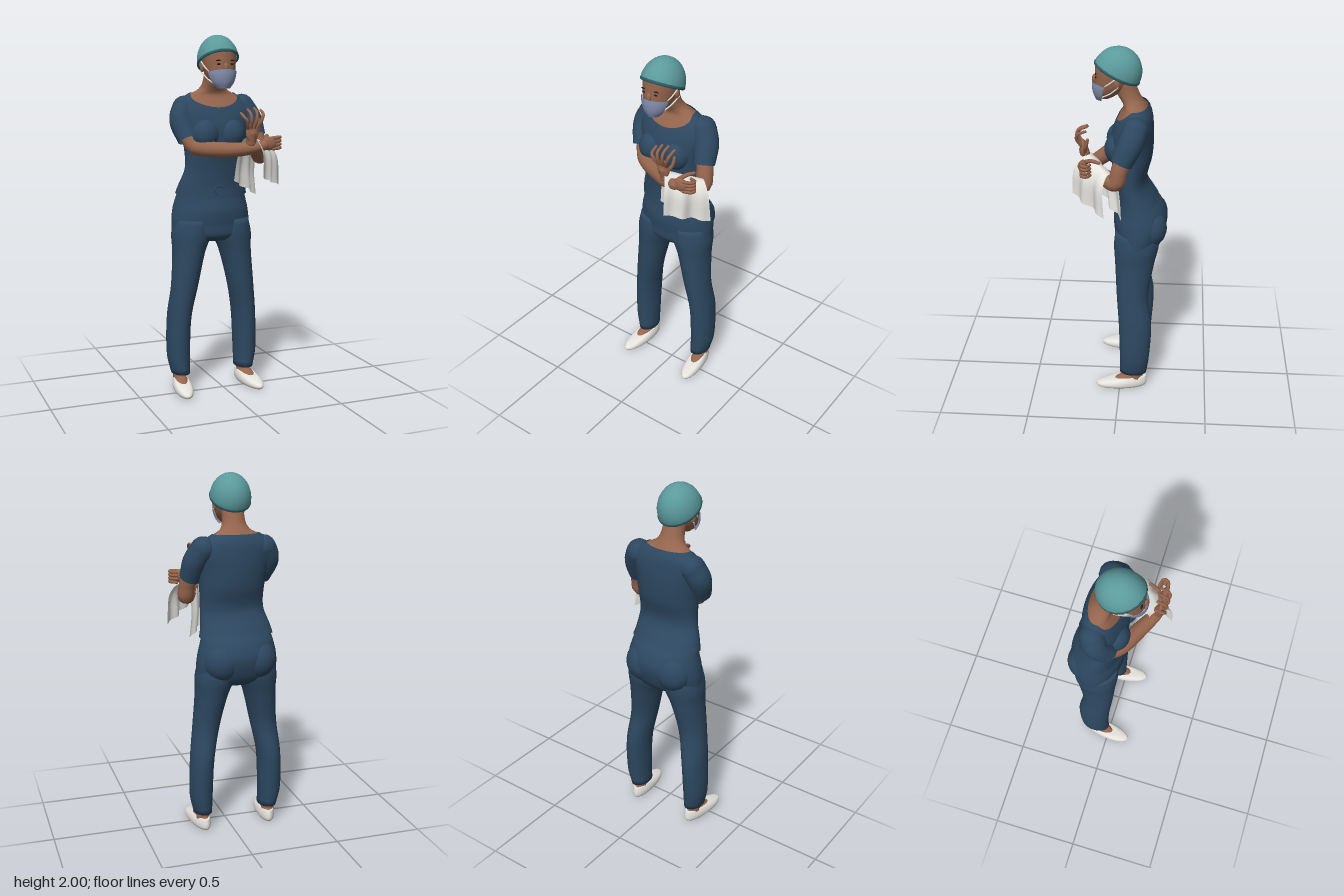
import * as THREE from 'three';
import { mergeGeometries } from 'three/addons/utils/BufferGeometryUtils.js';

const mat = (name, color, side = THREE.FrontSide) => {
  const m = new THREE.MeshStandardMaterial({ color, side });
  m.name = name;
  return m;
};
const CX = -0.037; // body mid line

// Smoothly interpolate profile rows [y, cx, cz, rx, rz] at height y
function rowAt(rows, y) {
  let i = 0;
  while (i < rows.length - 2 && y > rows[i + 1][0]) i++;
  const a = rows[i], b = rows[i + 1], p = rows[Math.max(0, i - 1)], q = rows[Math.min(rows.length - 1, i + 2)];
  const h = b[0] - a[0], t = THREE.MathUtils.clamp((y - a[0]) / h, 0, 1), t2 = t * t, t3 = t2 * t;
  return a.map((_, k) => {
    const ma = (b[k] - p[k]) / (b[0] - p[0]) * h, mb = (q[k] - a[k]) / (q[0] - a[0]) * h;
    return (2 * t3 - 3 * t2 + 1) * a[k] + (t3 - 2 * t2 + t) * ma + (3 * t2 - 2 * t3) * b[k] + (t3 - t2) * mb;
  });
}

// Grid of points fn(u, v); u runs counter-clockwise seen from above, v upward
function grid(fn, nu, nv, closed = false, caps = false) {
  const pos = [], idx = [], w = closed ? nu : nu + 1;
  for (let j = 0; j <= nv; j++) for (let i = 0; i < w; i++) pos.push(...fn(i / nu, j / nv));
  for (let j = 0; j < nv; j++) for (let i = 0; i < nu; i++) {
    const a = j * w + i, b = j * w + (i + 1) % w;
    idx.push(a, b, b + w, a, b + w, a + w);
  }
  if (caps) for (const j of [0, nv]) {
    const c = pos.length / 3, mid = [0, 0, 0];
    for (let i = 0; i < w; i++) for (let k = 0; k < 3; k++) mid[k] += pos[(j * w + i) * 3 + k] / w;
    pos.push(...mid);
    for (let i = 0; i < w; i++) {
      const a = j * w + i, b = j * w + (i + 1) % w;
      j ? idx.push(c, a, b) : idx.push(c, b, a);
    }
  }
  const g = new THREE.BufferGeometry();
  g.setAttribute('position', new THREE.Float32BufferAttribute(pos, 3));
  g.setIndex(idx);
  g.computeVertexNormals();
  return g;
}

// Stack of elliptical rings; top may vary with the angle from the front
function loft(rows, { top = () => rows[rows.length - 1][0], bottom = () => rows[0][0], from = 0, to = Math.PI * 2, grow = 0, caps = true, nu = 40, nv = 30 } = {}) {
  const closed = to - from > 6.28;
  return grid((u, v) => {
    const a = from + (to - from) * u, y = THREE.MathUtils.lerp(bottom(a), top(a), v);
    const [, cx, cz, rx, rz] = rowAt(rows, y);
    return [cx + (rx + grow) * Math.sin(a), y, cz + (rz + grow) * Math.cos(a)];
  }, nu, nv, closed, caps && closed);
}

// Tapering round limb through points, with a ball at the start and optionally the end
function limb(points, radii, roundEnd = true, n = 16, sides = 14) {
  const curve = new THREE.CatmullRomCurve3(points.map(p => new THREE.Vector3(...p)));
  const g = new THREE.TubeGeometry(curve, n, 1, sides), p = g.attributes.position, v = new THREE.Vector3();
  for (let i = 0; i <= n; i++) {
    const c = curve.getPointAt(i / n), f = i / n * (radii.length - 1), k = Math.min(Math.floor(f), radii.length - 2);
    const r = THREE.MathUtils.lerp(radii[k], radii[k + 1], f - k);
    for (let j = 0; j <= sides; j++) {
      const id = i * (sides + 1) + j;
      v.fromBufferAttribute(p, id).sub(c).multiplyScalar(r).add(c);
      p.setXYZ(id, v.x, v.y, v.z);
    }
  }
  const ball = (c, r) => new THREE.SphereGeometry(r, sides, 8).translate(...c);
  const parts = [g, ball(points[0], radii[0])];
  if (roundEnd) parts.push(ball(points.at(-1), radii.at(-1)));
  return mergeGeometries(parts);
}
const blob = (x, y, z, sx, sy, sz) => new THREE.SphereGeometry(1, 24, 16).scale(sx, sy, sz).translate(x, y, z);

export function createModel() {
  const scrub = mat('navy scrubs', 0x2d4861, THREE.DoubleSide), skin = mat('brown skin', 0x95654d);
  const teal = mat('teal cap', 0x5b9a9c, THREE.DoubleSide), rimTeal = mat('dark teal trim', 0x2a5f66);
  const white = mat('white cloth', 0xe4e3de, THREE.DoubleSide), maskBlue = mat('mask blue', 0x8490b0, THREE.DoubleSide);
  const dark = mat('dark brow', 0x2b1c17);
  const model = new THREE.Group();
  const add = (name, geo, m, parent = model) => {
    const mesh = new THREE.Mesh(geo, m);
    mesh.name = name;
    parent.add(mesh);
    return mesh;
  };

  // Shirt with scooped neckline
  const torso = [
    [1.10, CX, -.1, .215, .138], [1.17, CX, -.078, .199, .112], [1.27, -.025, -.05, .18, .091], [1.40, -.025, -.053, .184, .113],
    [1.50, -.03, -.055, .2, .118], [1.58, -.03, -.065, .215, .105], [1.64, -.037, -.075, .195, .086], [1.68, -.04, -.075, .135, .065], [1.70, -.04, -.07, .1, .055]];
  add('shirt', loft(torso, { caps: false, nv: 40, bottom: a => 1.125 - .02 * Math.cos(a), top: a => 1.683 - .077 * Math.max(0, Math.cos(a)) ** 2.4 }), scrub);
  for (const s of [-1, 1]) add('chest', blob(CX + s * .075, 1.46, .02, .08, .085, .07), scrub);

  // Neck and upper chest
  add('neck', loft([[1.54, -.035, -.06, .19, .1], [1.60, -.035, -.067, .2, .094], [1.64, -.037, -.075, .186, .081], [1.675, -.04, -.073, .135, .063],
    [1.70, -.04, -.06, .085, .06], [1.74, -.04, -.035, .064, .06], [1.83, -.04, 0, .062, .06]]), skin);

  // Trousers
  add('hips', loft([[.86, CX, -.085, .13, .09], [.89, CX, -.088, .215, .122], [.95, CX, -.1, .229, .14], [1.03, CX, -.105, .222, .15],
    [1.10, CX, -.1, .205, .132], [1.16, CX, -.08, .19, .105]]), scrub);
  add('waistTie', new THREE.TorusGeometry(.025, .005, 8, 20, 5).translate(-.035, 1.15, .032), scrub);
  for (const s of [-1, 1]) {
    const leg = new THREE.Group();
    leg.name = s < 0 ? 'rightLeg' : 'leftLeg';
    leg.position.x = CX;
    model.add(leg);
    add('trouserLeg', loft([[.095, .194, -.078, .052, .077], [.2, .204, -.085, .064, .084], [.42, .197, -.087, .067, .093], [.6, .17, -.07, .075, .089],
      [.8, .139, -.08, .092, .11], [.9, .12, -.088, .113, .125], [.98, .115, -.09, .1, .12]].map(([y, x, ...r]) => [y, s * x, ...r])), scrub, leg);
    add('buttock', blob(s * .1, 1.0, -.15, .105, .115, .105), scrub, leg);

    // Flat shoe, lower and turned slightly out at the toe
    const shape = g => {
      const p = g.attributes.position;
      for (let i = 0; i < p.count; i++) {
        const z = p.getZ(i), toe = THREE.MathUtils.clamp((z + .05) / .18, 0, 1);
        p.setXYZ(i, p.getX(i) + s * (.205 + z * .1), p.getY(i) * (1 - .4 * toe), z);
      }
      g.computeVertexNormals();
      return g;
    };
    add('shoe', shape(loft([[0, 0, -.012, .042, .135], [.012, 0, -.012, .05, .145], [.035, 0, -.012, .052, .147], [.055, 0, -.02, .046, .136], [.066, 0, -.045, .038, .108]], { nv: 14 })), white, leg);
    add('foot', shape(blob(0, .055, -.055, .037, .03, .088)), skin, leg);
    add('ankle', limb([[s * .197, .05, -.09], [s * .196, .15, -.085]], [.037, .035]), skin, leg);
  }

  // Head
  const head = [[1.715, -.04, .09, .02, .025], [1.74, -.04, .08, .052, .056], [1.78, -.04, .06, .075, .085], [1.83, -.04, .045, .087, .099],
    [1.88, -.04, .035, .092, .107], [1.93, -.04, .03, .088, .102], [1.965, -.04, .03, .055, .065]];
  add('head', loft(head), skin);
  add('nose', blob(-.04, 1.822, .143, .014, .026, .016), skin);
  for (const s of [-1, 1]) {
    add('ear', blob(-.04 + s * .09, 1.825, .022, .011, .03, .018), skin);
    add('eye', blob(-.04 + s * .035, 1.84, .135, .014, .005, .004), dark);
    add('eyebrow', blob(-.04 + s * .036, 1.859, .135, .019, .004, .004).rotateZ(0), dark);
    // Mask loops around the ears
    add('maskStrap', mergeGeometries([[[.066, 1.795, .095], [.084, 1.815, .07], [.097, 1.855, .022]], [[.05, 1.735, .1], [.075, 1.765, .055], [.097, 1.805, .015]]]
      .map(c => limb(c.map(([x, y, z]) => [-.04 + s * x, y, z]), [.004, .004], true, 10, 6))), white);
  }
  // Face mask
  add('faceMask', loft([[1.71, -.04, .09, .035, .045], [1.74, -.04, .08, .06, .068], [1.78, -.04, .065, .077, .09], [1.815, -.04, .05, .083, .104]],
    { from: -1.25, to: 1.25, grow: .005, nu: 24, nv: 12, top: a => 1.8 + .014 * Math.cos(a * 1.3) }), maskBlue);

  // Surgical cap, tilted up at the brow
  const cap = new THREE.Group();
  cap.name = 'cap';
  cap.position.set(-.04, 1.858, .027);
  cap.rotation.x = -.46;
  model.add(cap);
  add('capCrown', new THREE.SphereGeometry(1, 20, 10, 0, Math.PI * 2, 0, Math.PI / 2).scale(.112, .14, .131), teal, cap);
  add('capTrim', new THREE.TorusGeometry(1, .05, 8, 40).rotateX(Math.PI / 2).scale(.108, .18, .127), rimTeal, cap);

  // Arms: right one crosses the body, left one is bent forward under the towel
  add('rightSleeve', limb([[-.195, 1.6, -.08], [-.222, 1.54, -.06], [-.2, 1.43, -.005]], [.07, .066, .058], false), scrub);
  add('rightArm', limb([[-.21, 1.5, -.04], [-.175, 1.4, .01], [-.13, 1.385, .055], [0, 1.38, .125], [.09, 1.39, .175], [.16, 1.405, .195]],
    [.045, .046, .044, .042, .036, .028], true, 30), skin);
  add('leftSleeve', limb([[.145, 1.605, -.08], [.18, 1.54, -.055], [.2, 1.44, -.01]], [.07, .068, .058], false), scrub);
  add('leftArm', limb([[.19, 1.5, -.03], [.213, 1.4, 0], [.215, 1.335, .02], [.17, 1.36, .09], [.09, 1.42, .185]], [.046, .046, .045, .04, .027], true, 30), skin);

  // Raised left hand, palm toward the body
  const finger = (name, pts, r = .0095) => add(name, limb(pts, [r, r * .95, r * .75], true, 10, 8), skin);
  add('leftPalm', blob(.09, 1.475, .198, .036, .052, .017), skin);
  add('leftWrist', limb([[.09, 1.41, .18], [.09, 1.47, .195]], [.027, .026]), skin);
  for (let i = 0; i < 4; i++) {
    const x = .064 + i * .017, out = (i - 1.5) * .012, h = [-.025, -.006, 0, -.01][i];
    finger('leftFinger', [[x, 1.5, .205], [x + out, 1.545, .228], [x + out * 1.6, 1.585 + h, .222], [x + out * 1.8, 1.605 + h, .18]]);
  }
  finger('leftThumb', [[.11, 1.465, .19], [.135, 1.505, .18], [.14, 1.545, .17]], .011);

  // Right hand gripping the cloth
  add('rightPalm', blob(.195, 1.415, .192, .045, .038, .021), skin);
  for (let i = 0; i < 4; i++) {
    const y = 1.385 + i * .019;
    finger('rightFinger', [[.215, y, .198], [.258, y + .004, .19], [.266, y + .004, .165], [.23, y, .15]]);
  }
  finger('rightThumb', [[.175, 1.435, .18], [.2, 1.452, .145], [.218, 1.45, .105]], .012);

  // Towel draped over the left forearm: sections from inner hem, over the top, to outer hem
  const wristEnd = [[.015, 1.21, .125], [.03, 1.33, .135], [.055, 1.435, .155], [.095, 1.455, .195], [.13, 1.38, .245], [.132, 1.235, .258]];
  const elbowEnd = [[.205, 1.11, -.01], [.19, 1.25, .0], [.2, 1.36, .02], [.245, 1.395, .055], [.29, 1.34, .08], [.308, 1.17, .075]];
  add('towel', grid((u, v) => {
    const pts = wristEnd.map((p, i) => new THREE.Vector3(...p).lerp(new THREE.Vector3(...elbowEnd[i]), v));
    const p = new THREE.CatmullRomCurve3(pts).getPoint(u), hang = Math.abs(u - .55) * 2;
    const fold = Math.sin(v * 13 + u * 3) * .012 * hang * Math.sin(Math.PI * v);
    return [p.x + fold, p.y, p.z + fold];
  }, 36, 28), white);
  return model;
}
